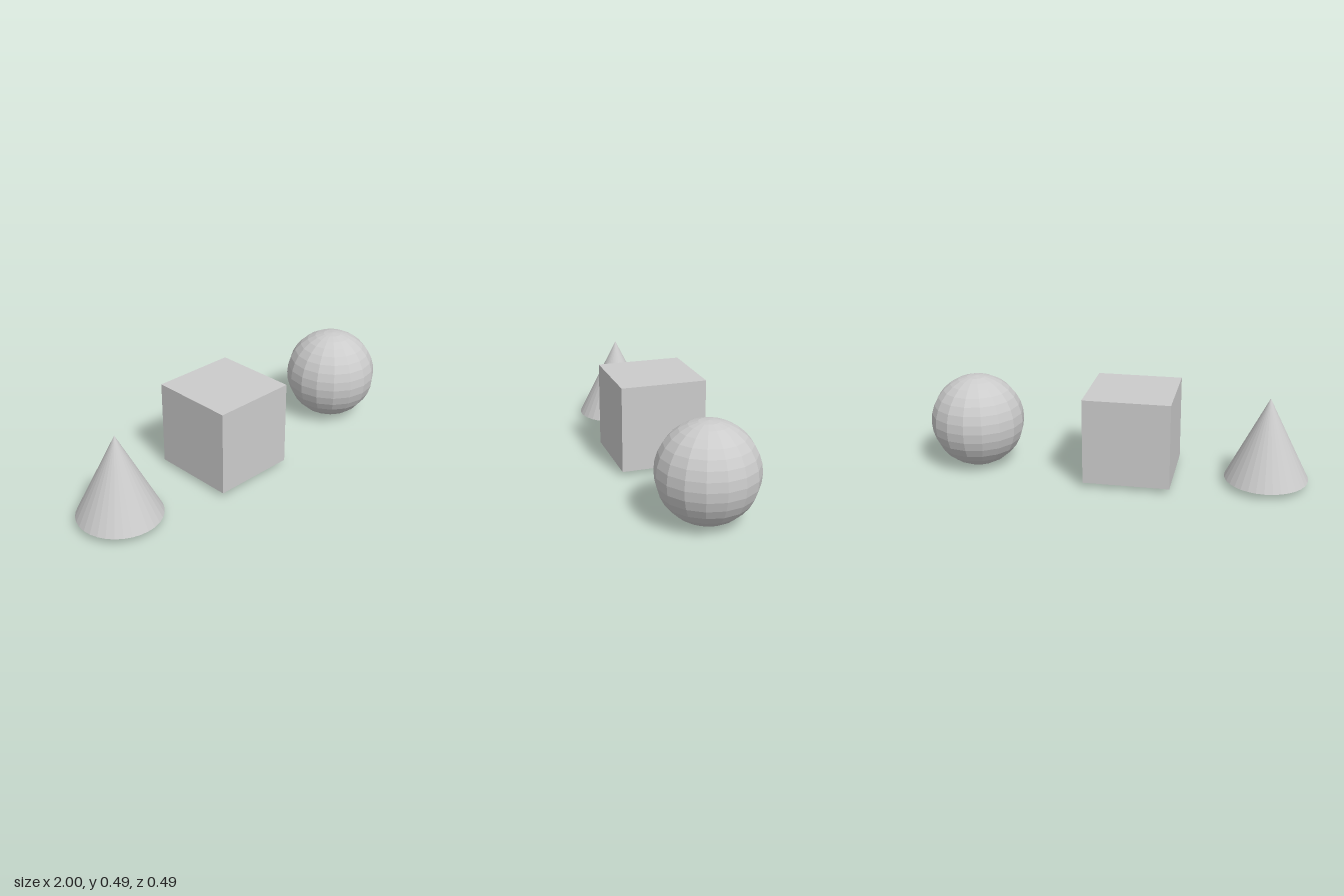
import * as THREE from 'three';

export function createModel() {
  const group = new THREE.Group();
  const material = new THREE.MeshStandardMaterial({ color: 0xcccccc, flatShading: true });
  const centreY = 0.246;

  // Each solid is centred at the same height, spaced along x
  const add = (name, geometry, x) => {
    const mesh = new THREE.Mesh(geometry, material);
    mesh.name = name;
    mesh.position.set(x, centreY, 0);
    group.add(mesh);
  };

  add('cone', new THREE.ConeGeometry(0.215, 0.43, 32), -0.785);
  add('cube', new THREE.BoxGeometry(0.447, 0.447, 0.447), -0.088);
  add('sphere', new THREE.SphereGeometry(0.246, 16, 16), 0.754);

  return group;
}
